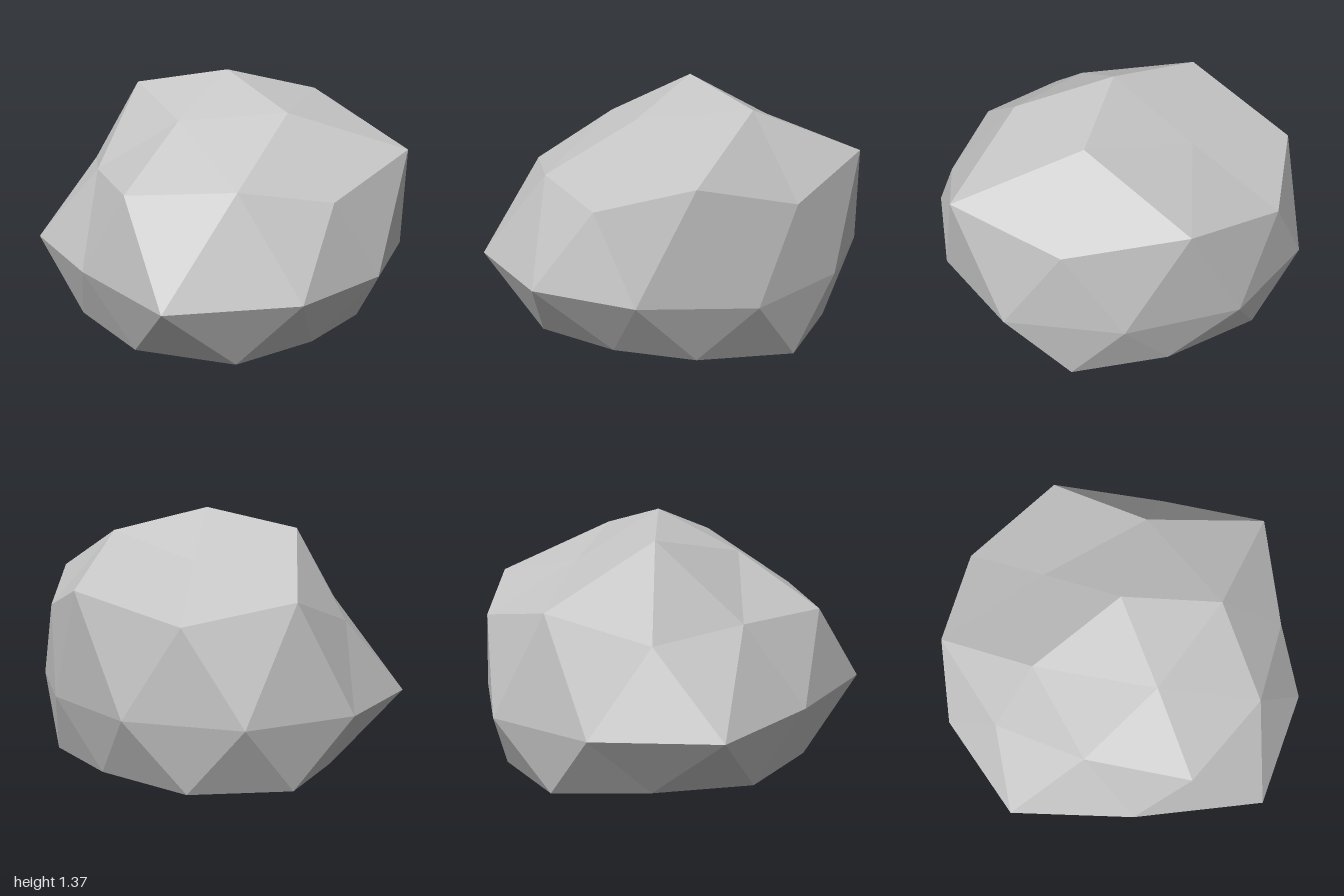
import * as THREE from 'three';

// Faceted boulder: rings of a once-subdivided icosahedron, five-fold around y.
const top = [0, 1.37, -0.02];
const base = [0, 0, -0.02];
// Each ring runs from +x towards +z
const crown = [[0.51, 1.21, -0.02], [0.15, 1.16, 0.39], [-0.45, 1.275, 0.27], [-0.38, 1.12, -0.28], [0.17, 1.25, -0.49]];
const shoulder = [[0.87, 0.83, -0.02], [0.3, 0.87, 0.8], [-0.69, 0.82, 0.42], [-0.79, 0.87, -0.54], [0.3, 0.85, -0.81]];
const brow = [[0.69, 0.91, 0.42], [-0.24, 0.87, 0.65], [-0.94, 0.97, -0.02], [-0.305, 1.0, -0.875], [0.82, 1.01, -0.56]];
const waist = [[1, 0.27], [0.715, 0.86], [0, 0.885], [-0.67, 0.81], [-1, 0.27],
  [-1, -0.32], [-0.595, -0.757], [0, -0.89], [0.6, -0.77], [0.92, -0.29]].map(([x, z]) => [x, 0.415, z]);
const foot = [[0.725, 0.065, 0.45], [-0.28, 0.065, 0.75], [-0.93, 0.065, -0.02], [-0.245, 0.06, -0.73], [0.62, 0.07, -0.44]];
const footMid = [[0.735, 0.065, -0.02], [0.28, 0.055, 0.75], [-0.64, 0.06, 0.38], [-0.74, 0.06, -0.49], [0.27, 0.055, -0.8]];
const sole = [[0.42, 0.025, 0.27], [-0.16, 0.02, 0.45], [-0.5, 0.03, -0.02], [-0.18, 0.015, -0.55], [0.42, 0.025, -0.27]];

function boulderGeometry() {
  const positions = [];
  // One large triangle split into four by its edge points
  const split = (a, b, c, ab, bc, ca) => {
    for (const p of [a, ab, ca, ab, b, bc, ca, bc, c, ab, bc, ca]) positions.push(...p);
  };
  for (let k = 0; k < 5; k++) {
    const n = (k + 1) % 5;
    const p = (k + 4) % 5;
    const w0 = waist[2 * k];
    const w1 = waist[2 * k + 1];
    const wPrev = waist[(2 * k + 9) % 10];
    split(top, shoulder[n], shoulder[k], crown[n], brow[k], crown[k]);
    split(shoulder[k], shoulder[n], foot[k], brow[k], w1, w0);
    split(shoulder[k], foot[k], foot[p], w0, footMid[k], wPrev);
    split(base, foot[p], foot[k], sole[p], footMid[k], sole[k]);
  }
  const geometry = new THREE.BufferGeometry();
  geometry.setAttribute('position', new THREE.Float32BufferAttribute(positions, 3));
  geometry.computeVertexNormals(); // unshared corners give flat facets
  return geometry;
}

export function createModel() {
  const stone = new THREE.MeshStandardMaterial({ color: 0xc5c5c5, flatShading: true });
  stone.name = 'stone grey';
  const boulder = new THREE.Mesh(boulderGeometry(), stone);
  boulder.name = 'boulder';
  const group = new THREE.Group();
  group.name = 'rock';
  group.add(boulder);
  return group;
}
